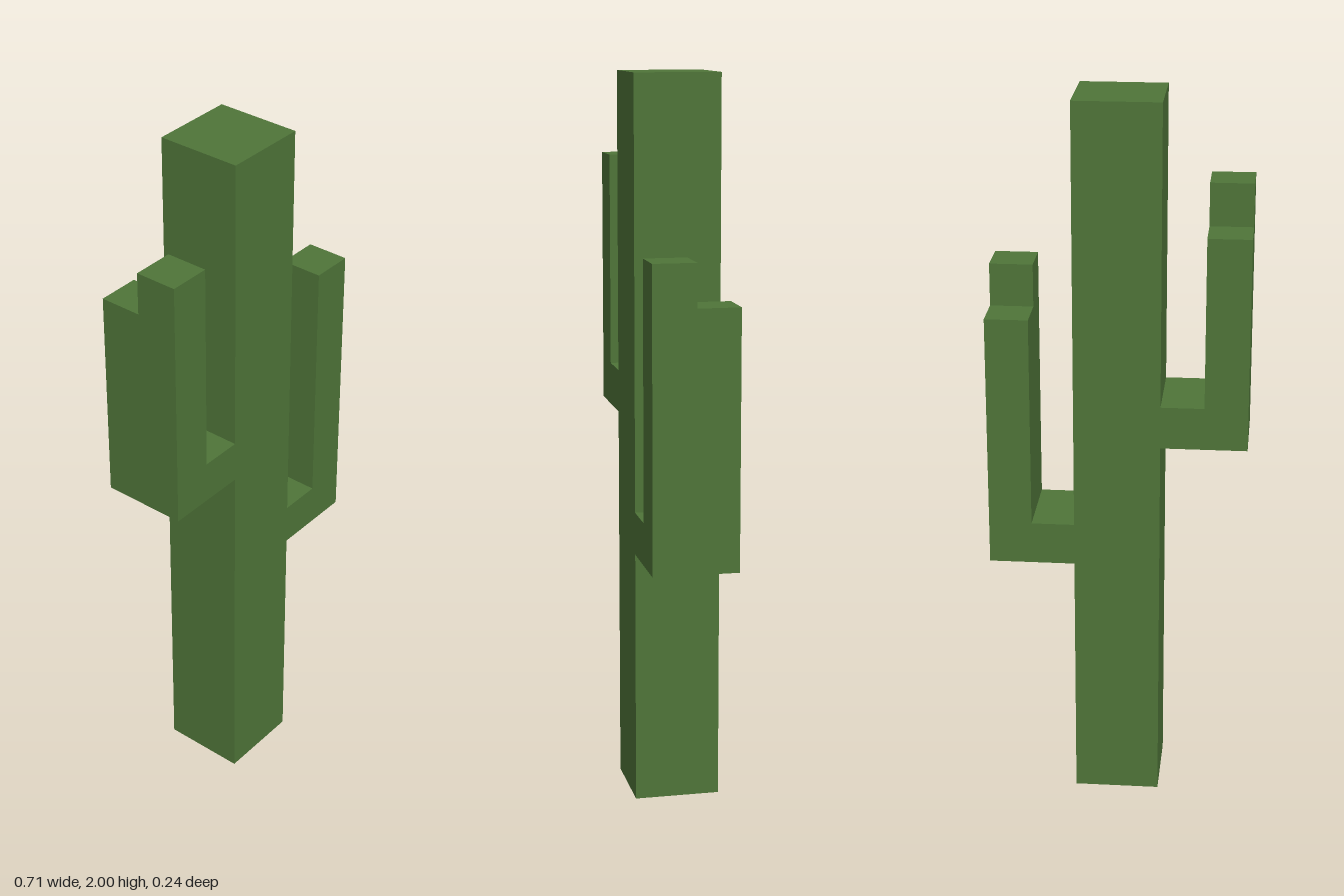
import * as THREE from 'three';

const U = 2 / 17; // one block of the grid

export function createModel() {
  const cactus = new THREE.Group();
  cactus.name = 'cactus';
  const green = new THREE.MeshStandardMaterial({ color: 0x4f7539 });
  green.name = 'cactusGreen';

  function add(parent, name, geometry, x, y, z) {
    const mesh = new THREE.Mesh(geometry, green);
    mesh.name = name;
    mesh.position.set(x * U, y * U, z * U);
    parent.add(mesh);
  }

  // Square trunk
  add(cactus, 'trunk', new THREE.BoxGeometry(2 * U, 17 * U, 2 * U), 0, 8.5, 0);

  // Elbow-shaped arm, two blocks deep, with one extra block on the front half
  function addArm(name, side, bottom, height) {
    const arm = new THREE.Group();
    arm.name = name;
    const outline = [[1, 0], [3, 0], [3, height], [2, height], [2, 1], [1, 1]];
    const shape = new THREE.Shape(
      outline.map(([x, y]) => new THREE.Vector2(side * x * U, y * U)));
    const elbow = new THREE.ExtrudeGeometry(shape, { depth: 2 * U, bevelEnabled: false });
    add(arm, name + 'Elbow', elbow, 0, bottom, -1);
    add(arm, name + 'Tip', new THREE.BoxGeometry(U, U, U), side * 2.5, bottom + height + 0.5, 0.5);
    cactus.add(arm);
  }
  addArm('leftArm', 1, 6, 6);
  addArm('rightArm', -1, 9, 5);

  return cactus;
}
